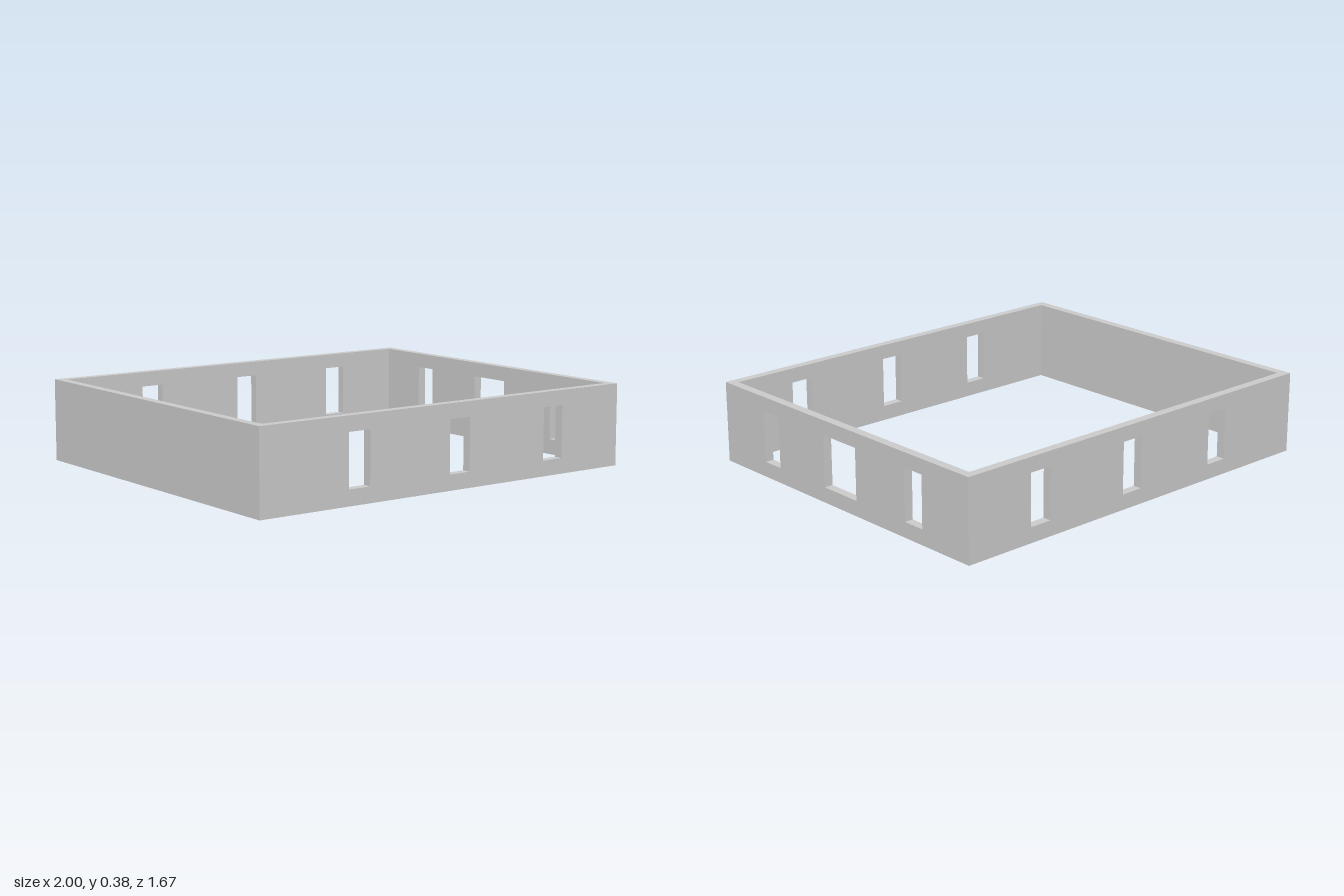
import * as THREE from 'three';

const WIDTH = 2, DEPTH = 1.67, HEIGHT = 0.383, THICK = 0.042;
const SILL = 0.072, HEAD = 0.314;

const material = new THREE.MeshStandardMaterial({ color: 0xcccccc, flatShading: true });

function rectangle(PathType, x0, y0, x1, y1) {
  const p = new PathType();
  p.moveTo(x0, y0);
  p.lineTo(x1, y0);
  p.lineTo(x1, y1);
  p.lineTo(x0, y1);
  p.closePath();
  return p;
}

// Upright wall slab centred on its own origin, with window openings [from, to]
function wall(name, length, windows) {
  const shape = rectangle(THREE.Shape, -length / 2, 0, length / 2, HEIGHT);
  for (const [from, to] of windows) shape.holes.push(rectangle(THREE.Path, from, SILL, to, HEAD));
  const geometry = new THREE.ExtrudeGeometry(shape, { depth: THICK, bevelEnabled: false });
  geometry.translate(0, 0, -THICK / 2);
  const mesh = new THREE.Mesh(geometry, material);
  mesh.name = name;
  return mesh;
}

export function createModel() {
  const group = new THREE.Group();
  group.name = 'walls';

  // Long walls, each with three narrow windows
  const longWindows = [[-0.55, -0.438], [-0.003, 0.109], [0.544, 0.656]];
  for (const [name, side] of [['frontWall', 1], ['backWall', -1]]) {
    const mesh = wall(name, WIDTH, longWindows);
    mesh.position.z = side * (DEPTH - THICK) / 2;
    group.add(mesh);
  }

  // Side walls fit between the long walls: one wide window flanked by two narrow ones, and a blank wall
  const sideWindows = [[-0.546, -0.435], [-0.11, 0.11], [0.435, 0.546]];
  for (const [name, side, windows] of [['leftWall', 1, sideWindows], ['rightWall', -1, []]]) {
    const mesh = wall(name, DEPTH - 2 * THICK, windows);
    mesh.rotation.y = Math.PI / 2;
    mesh.position.x = side * (WIDTH - THICK) / 2;
    group.add(mesh);
  }

  return group;
}
